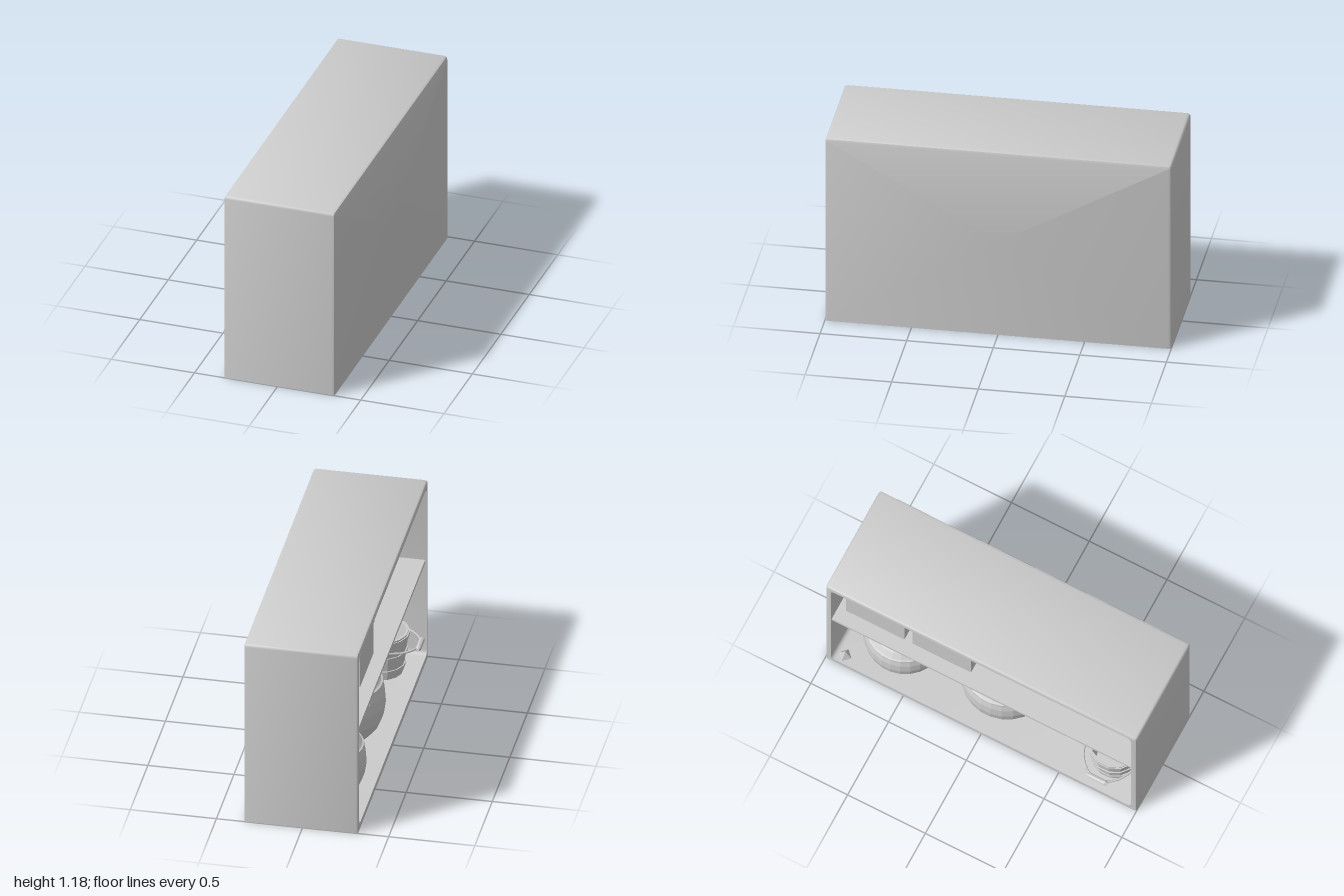
import * as THREE from 'three';
import { toCreasedNormals } from 'three/addons/utils/BufferGeometryUtils.js';

const smooth = new THREE.MeshStandardMaterial({ color: 0xcccccc, side: THREE.DoubleSide });
const faceted = new THREE.MeshStandardMaterial({ color: 0xcccccc, side: THREE.DoubleSide, flatShading: true });

const FLOOR = 0.037, SHELF = 0.66;

function add(parent, name, geometry, material = faceted, x = 0, y = 0, z = 0) {
  const mesh = new THREE.Mesh(geometry, material);
  mesh.name = name;
  mesh.position.set(x, y, z);
  parent.add(mesh);
  return mesh;
}

function group(parent, name, x, y, z) {
  const g = new THREE.Group();
  g.name = name;
  g.position.set(x, y, z);
  parent.add(g);
  return g;
}

// Rounded rectangle in the z-y plane at a given x
function ring(x, inset, bottom, rTop, rBottom) {
  const half = 1 - inset, top = 1.177 - inset, pts = [];
  const corners = [[1, bottom, rBottom], [1, top, rTop], [-1, top, rTop], [-1, bottom, rBottom]];
  corners.forEach(([side, y, r], k) => {
    const cz = side * (half - r), cy = y === top ? y - r : y + r;
    for (let s = 0; s <= 4; s++) {
      const a = (k - 1 + s / 4) * Math.PI / 2;
      pts.push([x, cy + r * Math.sin(a), cz + r * Math.cos(a)]);
    }
  });
  return pts;
}

// Cabinet: outer skin, rim and cavity lofted in one go, open underneath
function cabinetGeometry() {
  const centre = x => Array.from({ length: 20 }, () => [x, 0.6, 0]);
  const rings = [
    centre(0.342),
    ring(0.342, 0.018, 0, 0.004, 0),
    ring(0.337, 0.005, 0, 0.015, 0),
    ring(0.324, 0, 0, 0.02, 0),
    ring(-0.308, 0, 0, 0.02, 0),
    ring(-0.318, 0.004, 0, 0.016, 0),
    ring(-0.322, 0.012, 0, 0.01, 0),
    ring(-0.322, 0.035, FLOOR, 0.03, 0.03),
    ring(0.3, 0.035, FLOOR, 0.03, 0.03),
    centre(0.3),
  ];
  const n = 20, index = [];
  for (let i = 0; i < rings.length - 1; i++) {
    for (let j = 0; j < n; j++) {
      if (j === n - 1 && i >= 1 && i <= 5) continue; // open underside
      const a = i * n + j, b = i * n + (j + 1) % n;
      index.push(a, b, b + n, a, b + n, a + n);
    }
  }
  const g = new THREE.BufferGeometry();
  g.setAttribute('position', new THREE.Float32BufferAttribute(rings.flat(2), 3));
  g.setIndex(index);
  return toCreasedNormals(g, 0.6);
}

const lathe = (points, sides) =>
  new THREE.LatheGeometry(points.map(([r, y]) => new THREE.Vector2(r, y)), sides);

// Round-bellied jar with a shoulder ridge and flared neck
function addJar(parent, name, x, z, scale) {
  const profile = [
    [0, 0], [0.14, 0], [0.19, 0.03], [0.235, 0.08], [0.264, 0.15], [0.276, 0.23], [0.27, 0.3],
    [0.256, 0.345], [0.262, 0.35], [0.26, 0.362], [0.248, 0.366], [0.22, 0.395], [0.178, 0.42],
    [0.178, 0.435], [0.155, 0.44], [0.148, 0.48], [0.165, 0.525], [0.15, 0.525], [0.13, 0.48],
    [0.135, 0.43], [0.23, 0.35], [0.25, 0.23], [0.2, 0.07], [0, 0.03],
  ];
  add(parent, name, lathe(profile, 26), faceted, x, FLOOR, z).scale.setScalar(scale);
}

// Bucket with hoops and a swinging handle resting forward
function addBucket(parent, x, z) {
  const g = group(parent, 'bucket', x, FLOOR, z);
  const height = 0.265, radius = y => 0.125 + 0.033 * y / height;
  add(g, 'bucketWall', lathe([
    [0, 0.02], [0.108, 0.02], [0.142, height], [radius(height), height], [radius(0), 0], [0, 0],
  ].reverse(), 14));
  for (const y of [0.03, 0.12, 0.225]) {
    const a = radius(y), b = radius(y + 0.03);
    add(g, 'bucketHoop', lathe([[a, y], [a + 0.007, y], [b + 0.007, y + 0.03], [b, y + 0.03]], 14));
  }
  const path = [];
  for (let i = 0; i <= 16; i++) {
    const a = i / 16 * Math.PI;
    path.push(new THREE.Vector3(-0.225 * Math.sin(a), 0.208 - 0.015 * Math.sin(a), -0.168 * Math.cos(a)));
  }
  add(g, 'bucketHandle', new THREE.TubeGeometry(new THREE.CatmullRomCurve3(path), 24, 0.007, 6), smooth);
  const grip = add(g, 'handleGrip', lathe([
    [0.008, -0.07], [0.017, -0.05], [0.017, 0.05], [0.008, 0.07],
  ], 8), faceted, -0.225, 0.193, 0);
  grip.rotation.x = Math.PI / 2;
  for (const s of [-1, 1]) {
    add(g, 'handleMount', new THREE.BoxGeometry(0.035, 0.045, 0.02), faceted, 0, 0.208, s * 0.158);
  }
}

// Storage box with an overlapping, bevelled lid
function addStorageBox(parent, z) {
  const g = group(parent, 'storageBox', -0.03, SHELF, z);
  add(g, 'boxBase', new THREE.BoxGeometry(0.4, 0.21, 0.375), faceted, 0, 0.105, 0);
  const w = 0.412 - 0.016, d = 0.387 - 0.016;
  const shape = new THREE.Shape([[-1, -1], [1, -1], [1, 1], [-1, 1]]
    .map(([sx, sz]) => new THREE.Vector2(sx * w / 2, sz * d / 2)));
  const lid = new THREE.ExtrudeGeometry(shape, {
    depth: 0.049, bevelThickness: 0.008, bevelSize: 0.008, bevelSegments: 1,
  });
  lid.rotateX(-Math.PI / 2);
  add(g, 'boxLid', lid, faceted, 0, 0.213, 0);
}

// Book pivoting on its lower +z corner, spine towards the opening
function addBook(parent, [x, z, thick, height, lean, depth]) {
  const g = group(parent, 'book', x, SHELF, z);
  g.rotation.x = lean;
  const c = 0.007;
  for (const cz of [-c / 2, -thick + c / 2]) {
    add(g, 'bookCover', new THREE.BoxGeometry(depth, height, c), faceted, depth / 2, height / 2, cz);
  }
  add(g, 'bookSpine', new THREE.BoxGeometry(c, height, thick), faceted, c / 2, height / 2, -thick / 2);
  add(g, 'bookPages', new THREE.BoxGeometry(depth - 0.02, height - 0.02, thick - 2 * c),
    faceted, depth / 2, height / 2, -thick / 2);
}

export function createModel() {
  const model = new THREE.Group();
  model.name = 'stockedCabinet';

  add(model, 'cabinet', cabinetGeometry(), smooth);
  add(model, 'shelf', new THREE.BoxGeometry(0.612, 0.02, 1.93), smooth, -0.006, SHELF - 0.01, 0);

  // Lower compartment
  addJar(model, 'largeJar', 0, 0, 1);
  addJar(model, 'smallJar', -0.05, -0.63, 0.88);
  addBucket(model, -0.102, 0.75);
  add(model, 'cornerWedge', new THREE.ConeGeometry(0.04, 0.06, 4), faceted, -0.27, FLOOR + 0.03, -0.9);

  // Upper compartment
  for (const z of [-0.728, -0.3]) addStorageBox(model, z);
  const books = [
    [-0.13, 0.96, 0.055, 0.285, 0, 0.22],
    [-0.125, 0.895, 0.052, 0.29, 0.03, 0.22],
    [-0.12, 0.785, 0.05, 0.29, 0.2, 0.21],
    [-0.12, 0.655, 0.045, 0.285, 0.38, 0.21],
    [-0.115, 0.475, 0.045, 0.3, 0.83, 0.2],
    [0.11, 0.6, 0.045, 0.27, 0.5, 0.17],
  ];
  books.forEach(b => addBook(model, b));

  return model;
}
